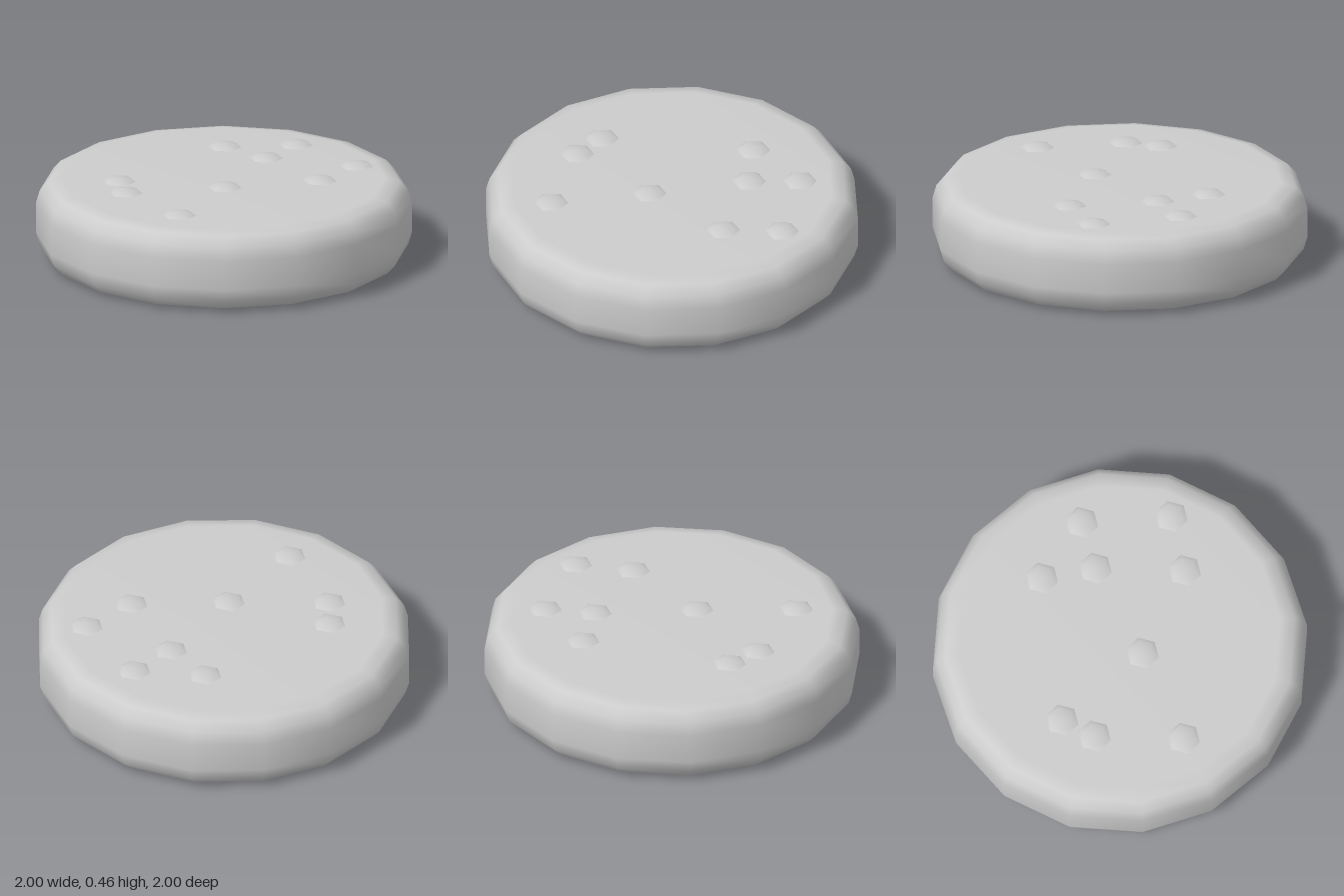
import * as THREE from 'three';
import { mergeVertices } from 'three/addons/utils/BufferGeometryUtils.js';

const grey = new THREE.MeshStandardMaterial({ color: 0xcccccc });
grey.name = 'plain grey';

// Revolved solid with area-weighted smooth normals, so large flat faces stay flat
function smoothLathe(profile, sides) {
  const points = profile.map(([r, y]) => new THREE.Vector2(r, y));
  const lathe = new THREE.LatheGeometry(points, sides);
  lathe.deleteAttribute('uv');
  lathe.deleteAttribute('normal');
  const geometry = mergeVertices(lathe, 1e-4);
  geometry.computeVertexNormals();
  return geometry;
}

export function createModel() {
  const model = new THREE.Group();
  model.name = 'biscuit';

  // Round body with bevelled rims
  const body = new THREE.Mesh(smoothLathe([
    [0, 0], [0.86, 0], [0.935, 0.02], [0.98, 0.07], [1, 0.14],
    [1, 0.3], [0.98, 0.37], [0.935, 0.42], [0.86, 0.437], [0, 0.437],
  ], 16), grey);
  body.name = 'body';
  model.add(body);

  // Low six-sided chips scattered on the top
  const chipGeometry = smoothLathe([[0.09, 0], [0.064, 0.014], [0, 0.021]], 6);
  const chipSpots = [
    [0.21, -0.49], [0.57, -0.37], [0.34, -0.23],
    [-0.535, -0.17], [-0.575, 0.02], [-0.055, 0.14],
    [0.73, 0.08], [0.455, 0.23], [-0.46, 0.48],
  ];
  chipSpots.forEach(([x, z], i) => {
    const chip = new THREE.Mesh(chipGeometry, grey);
    chip.name = `chip${i + 1}`;
    chip.position.set(x, 0.437, z);
    model.add(chip);
  });

  return model;
}
